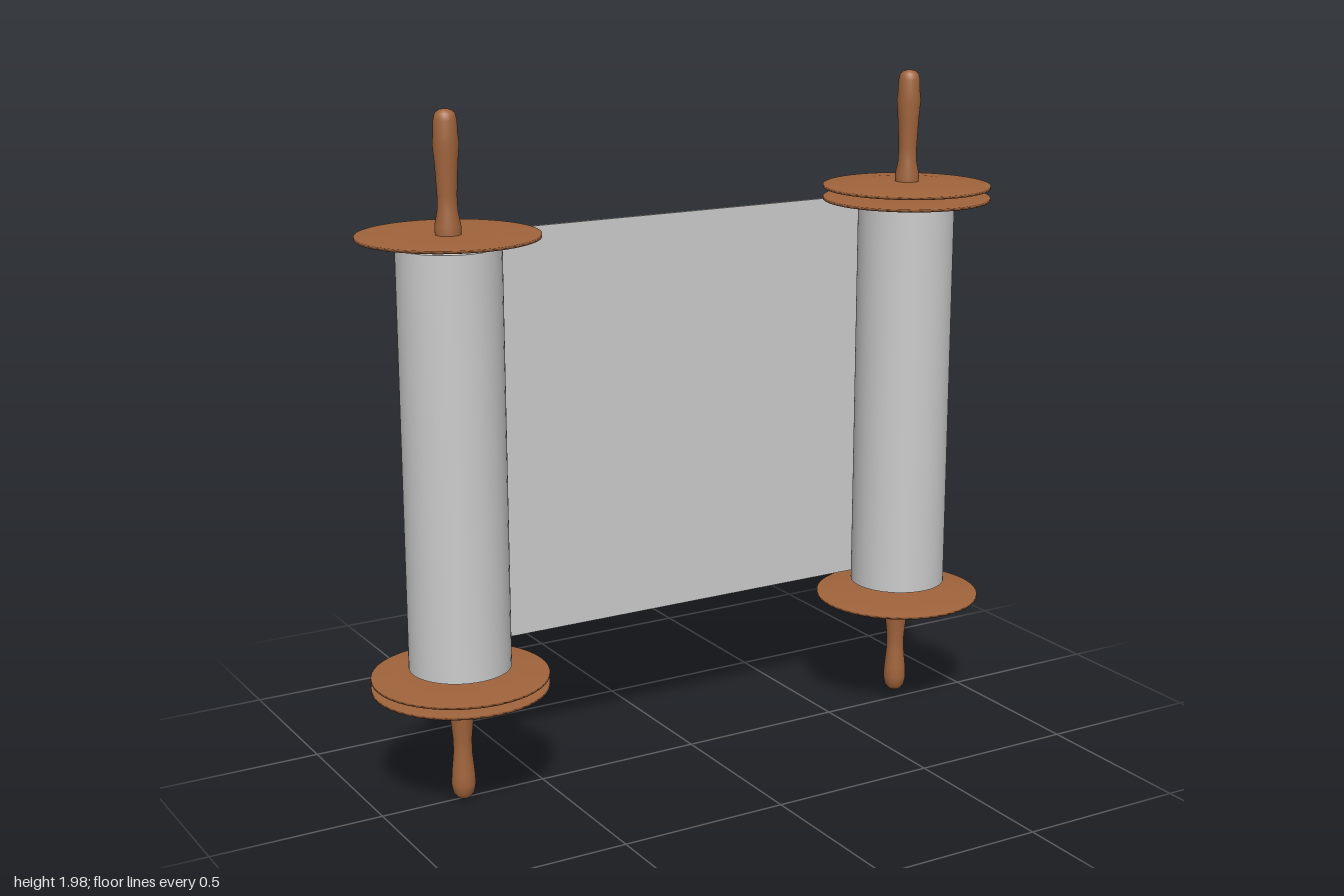
import * as THREE from 'three';

const wood = new THREE.MeshStandardMaterial({ color: 0xa0643c });
const paper = new THREE.MeshStandardMaterial({ color: 0xcccccc });

function lathe(name, points, segments, material) {
  const profile = points.map(([r, y]) => new THREE.Vector2(r, y));
  const mesh = new THREE.Mesh(new THREE.LatheGeometry(profile, segments), material);
  mesh.name = name;
  return mesh;
}

// Thin round plate, centre raised above or sunk below the rim on either face
function plate(name, y, domeTop = 0, domeBottom = 0) {
  const h = 0.004, R = 0.25;
  return lathe(name, [
    [0, y - h - domeBottom], [0.14, y - h - domeBottom * 0.7], [R, y - h],
    [R, y + h], [0.14, y + h + domeTop * 0.7], [0, y + h + domeTop],
  ], 48, wood);
}

// Turned rod with a swelling grip at each end
function rod(bottom, top) {
  const b = bottom, t = top;
  return lathe('rod', [
    [0, b], [0.018, b + 0.004], [0.03, b + 0.018], [0.035, b + 0.045], [0.033, b + 0.08],
    [0.027, b + 0.14], [0.027, b + 0.18], [0.034, b + 0.25], [0.042, b + 0.32], [0.036, b + 0.35],
    [0.035, b + 0.4], [0.035, t - 0.34], [0.036, t - 0.31], [0.028, t - 0.27], [0.027, t - 0.23],
    [0.031, t - 0.15], [0.036, t - 0.09], [0.033, t - 0.065], [0.032, t - 0.03],
    [0.027, t - 0.012], [0.016, t - 0.003], [0, t],
  ], 24, wood);
}

function roller(name, x, bottom, top, plates) {
  const group = new THREE.Group();
  group.name = name;
  group.position.x = x;
  group.add(rod(bottom, top), ...plates);
  // Wound paper
  const roll = new THREE.Mesh(new THREE.CylinderGeometry(0.144, 0.144, 1.19, 48), paper);
  roll.name = 'paperRoll';
  roll.position.y = 0.995;
  group.add(roll);
  return group;
}

export function createModel() {
  const model = new THREE.Group();
  model.name = 'scroll';

  model.add(
    roller('rightRoller', -0.75, 0, 1.955, [
      plate('topPlate', 1.617, 0, 0.008),
      plate('innerBottomPlate', 0.372),
      plate('outerBottomPlate', 0.342, 0, 0.016),
    ]),
    roller('leftRoller', 0.748, 0.03, 1.981, [
      plate('outerTopPlate', 1.636, 0.012, 0),
      plate('innerTopPlate', 1.6),
      plate('bottomPlate', 0.355, 0.008, 0),
    ]),
  );

  // Open sheet stretched between the backs of both rolls
  const sheet = new THREE.Mesh(new THREE.BoxGeometry(1.44, 1.195, 0.01), paper);
  sheet.name = 'sheet';
  sheet.position.set(-0.01, 0.9985, -0.14);
  model.add(sheet);

  return model;
}
